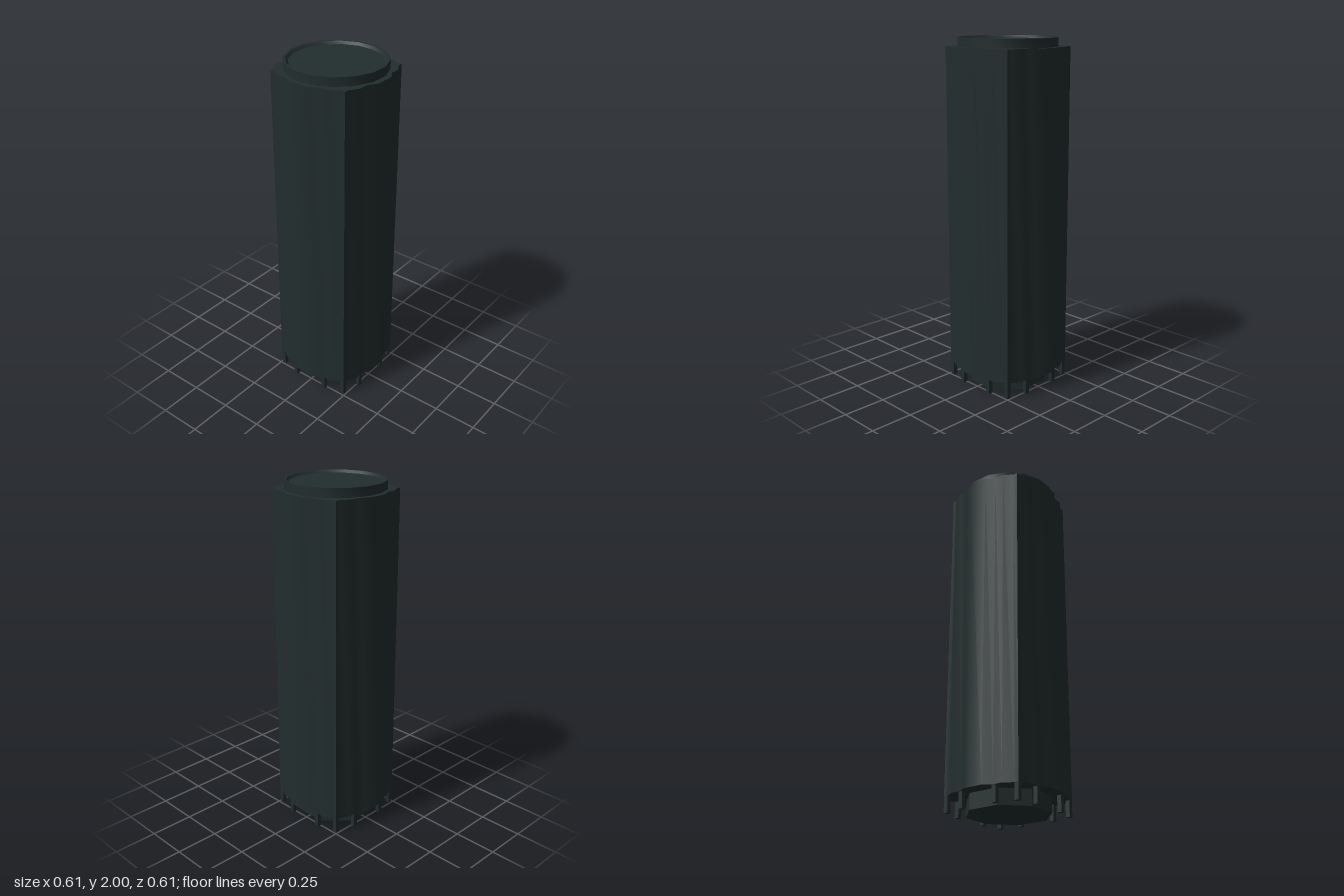
import * as THREE from 'three';
import { toCreasedNormals } from 'three/addons/utils/BufferGeometryUtils.js';

export function createModel() {
  const group = new THREE.Group();
  const darkMetal = new THREE.MeshStandardMaterial({ color: 0x222d2d });
  darkMetal.name = 'darkMetal';

  const add = (name, geometry, x = 0, y = 0, z = 0) => {
    const mesh = new THREE.Mesh(toCreasedNormals(geometry, 0.66), darkMetal);
    mesh.name = name;
    mesh.position.set(x, y, z);
    group.add(mesh);
  };

  // Scalloped body: one quarter of the outline, turned four times
  const quarter = [
    [0.306, -0.058], [0.306, 0.058], [0.275, 0.108], [0.275, 0.165],
    [0.243, 0.216], [0.243, 0.243], [0.216, 0.243], [0.165, 0.275], [0.108, 0.275],
  ];
  const outline = [];
  for (let i = 0; i < 4; i++) {
    for (const [x, y] of quarter) {
      outline.push(new THREE.Vector2(x, y).rotateAround(new THREE.Vector2(), i * Math.PI / 2));
    }
  }
  const body = new THREE.ExtrudeGeometry(new THREE.Shape(outline), { depth: 1.86, bevelEnabled: false });
  body.rotateX(-Math.PI / 2);
  add('body', body, 0, 0.09, 0);

  // Top cap with a raised rim around a shallow dish
  const profile = [[0.28, 1.94], [0.28, 2], [0.268, 2], [0.255, 1.985], [0, 1.985]]
    .map(([r, y]) => new THREE.Vector2(r, y));
  add('topCap', new THREE.LatheGeometry(profile, 16, Math.PI / 16));

  // Eight-sided plug under the body
  const plug = new THREE.CylinderGeometry(0.235, 0.235, 0.1, 8);
  plug.rotateY(Math.PI / 8);
  add('basePlug', plug, 0, 0.051, 0);

  // Twelve square pins: one at each corner and two along each side
  for (const sx of [-1, 1]) {
    for (const sz of [-1, 1]) {
      for (const [x, z] of [[0.23, 0.23], [0.108, 0.258], [0.258, 0.108]]) {
        add('pin', new THREE.BoxGeometry(0.025, 0.1, 0.025), sx * x, 0.05, sz * z);
      }
    }
  }
  return group;
}
